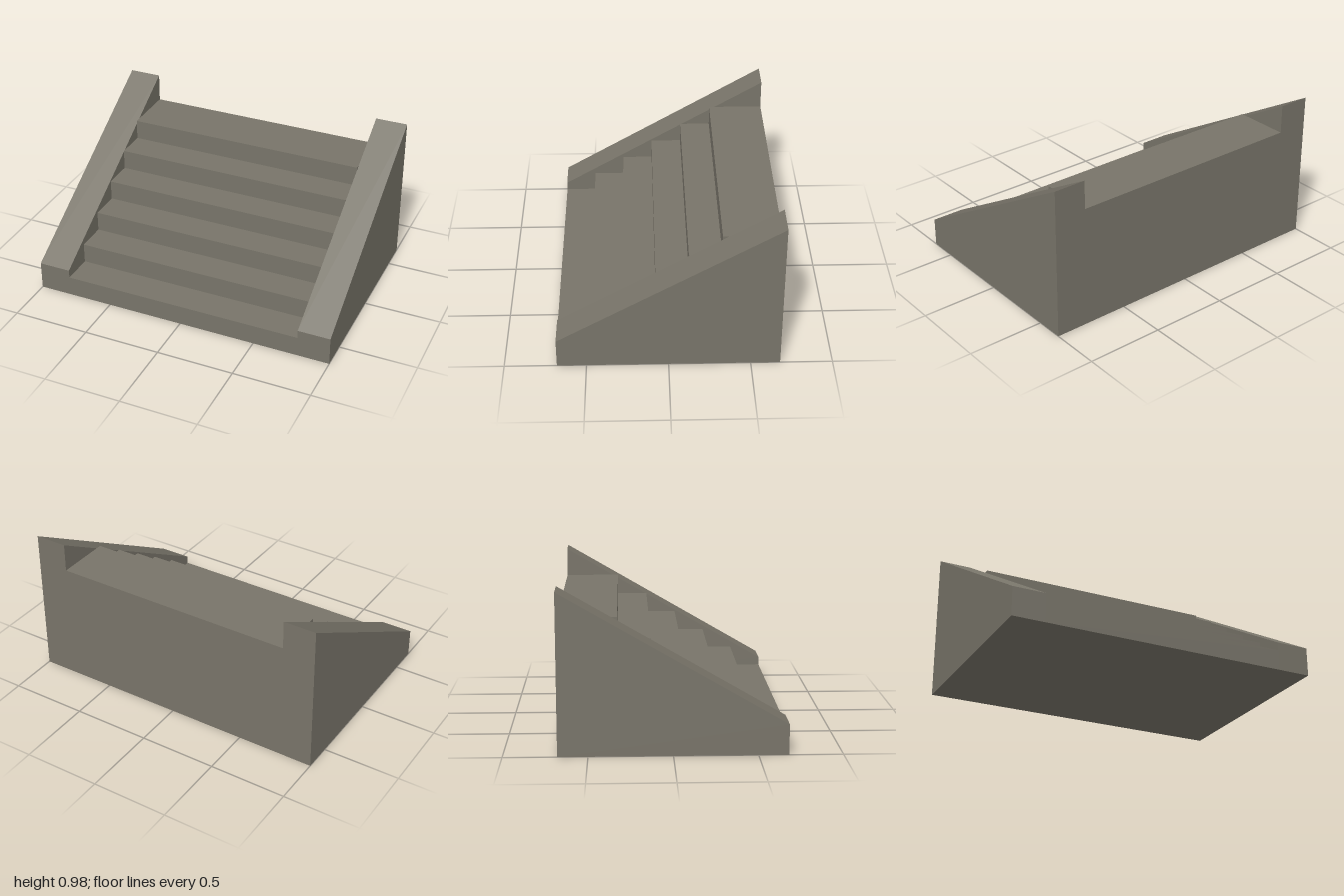
import * as THREE from 'three';

const HALF_DEPTH = 0.68;
const INNER = 0.79; // half width of the stair between the walls
const stone = new THREE.MeshStandardMaterial({ color: 0x787469 });
stone.name = 'warm grey stone';

// Extrudes a (z, y) side profile across x, from x0 to x1
function sideProfile(name, points, x0, x1) {
  const shape = new THREE.Shape(points.map(([z, y]) => new THREE.Vector2(z, y)));
  const geometry = new THREE.ExtrudeGeometry(shape, { depth: x1 - x0, bevelEnabled: false });
  geometry.rotateY(-Math.PI / 2);
  geometry.translate(x1, 0, 0);
  const mesh = new THREE.Mesh(geometry, stone);
  mesh.name = name;
  return mesh;
}

export function createModel() {
  const group = new THREE.Group();
  group.name = 'staircase';

  // Solid flight of six steps, the last one a deep landing
  const steps = 6, rise = 0.79 / 6, run = 0.2;
  const profile = [[-HALF_DEPTH, 0], [HALF_DEPTH, 0]];
  for (let i = 0; i < steps; i++) {
    const front = i === 0 ? HALF_DEPTH : 0.675 - i * run;
    const back = i === steps - 1 ? -HALF_DEPTH : 0.675 - (i + 1) * run;
    profile.push([front, (i + 1) * rise], [back, (i + 1) * rise]);
  }
  group.add(sideProfile('steps', profile, -INNER, INNER));

  // Sloping walls on both sides
  const wall = [[-HALF_DEPTH, 0], [HALF_DEPTH, 0], [HALF_DEPTH, 0.185], [-HALF_DEPTH, 0.975]];
  group.add(sideProfile('leftWall', wall, INNER, 1));
  group.add(sideProfile('rightWall', wall, -1, -INNER));

  return group;
}
